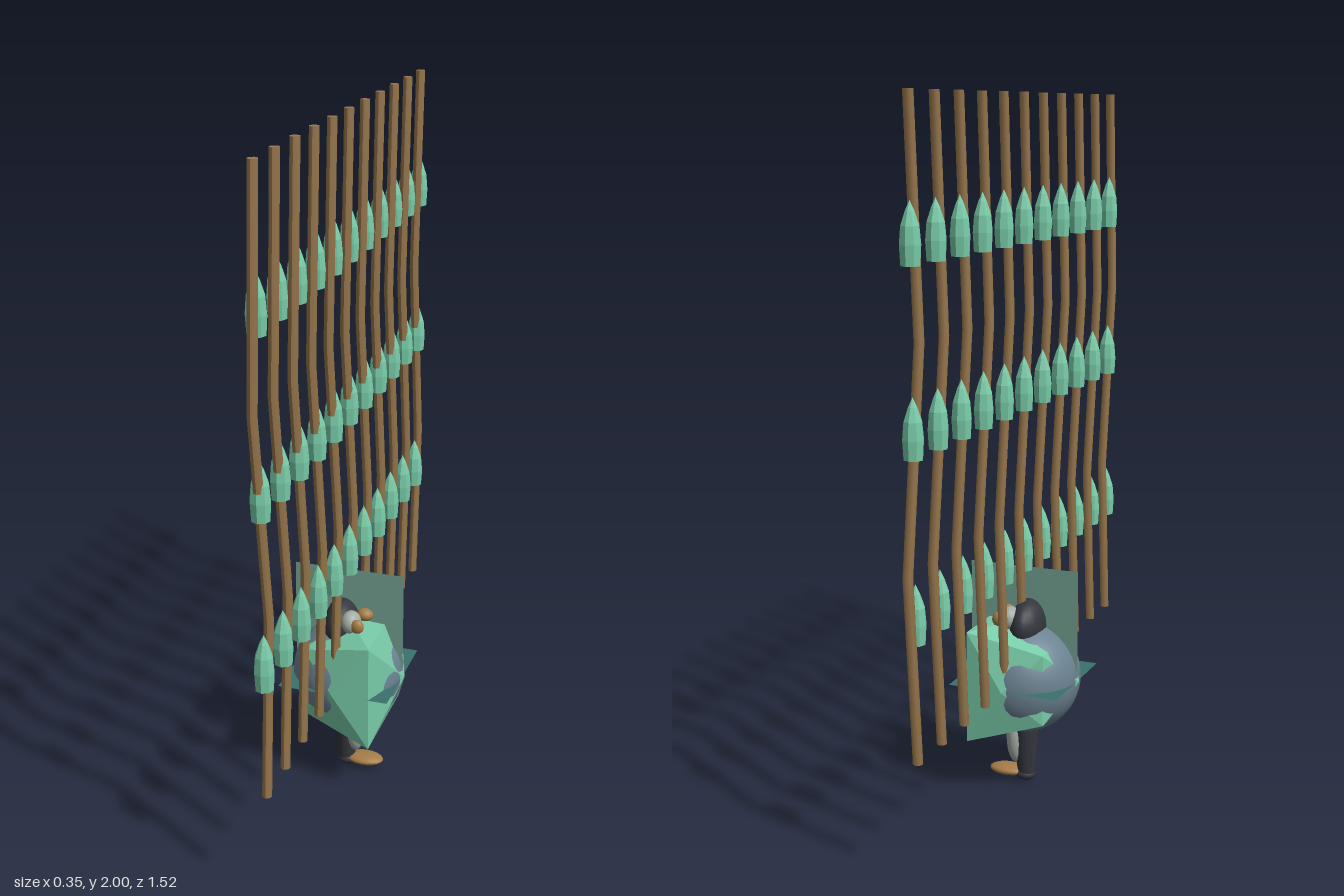
import * as THREE from 'three';
import { ConvexGeometry } from 'three/addons/geometries/ConvexGeometry.js';

function mat(name, color, opts = {}) {
  const m = new THREE.MeshStandardMaterial({ color, ...opts });
  m.name = name;
  return m;
}

export function createModel() {
  const root = new THREE.Group();
  const wood = mat('stalk brown', 0x94744a);
  const green = mat('leaf green', 0x78cba8, { flatShading: true });
  const blue = mat('slate blue', 0x6a8190);
  const sage = mat('sage plate', 0x73a192, { side: THREE.DoubleSide });
  const teal = mat('dark teal plate', 0x3a716c, { side: THREE.DoubleSide });
  const dark = mat('charcoal', 0x33363d);
  const pale = mat('pale grey', 0xa3aca4);
  const tan = mat('tan', 0xa57c48);

  function add(name, geo, material, x = 0, y = 0, z = 0, parent = root) {
    const mesh = new THREE.Mesh(geo, material);
    mesh.name = name;
    mesh.position.set(x, y, z);
    parent.add(mesh);
    return mesh;
  }
  const ellipsoid = (rx, ry, rz) => new THREE.SphereGeometry(1, 20, 14).scale(rx, ry, rz);

  // Bent stalk: each ring of a cylinder is moved to one point of the zigzag
  const path = [[2, 0], [1.4, 0.04], [0.83, -0.04], [0.33, 0]];
  const stalkGeo = new THREE.CylinderGeometry(0.014, 0.014, 3, 8, 3);
  const p = stalkGeo.attributes.position;
  for (let i = 0; i < p.count; i++) {
    const [y, dz] = path[Math.round(1.5 - p.getY(i))];
    p.setY(i, y);
    p.setZ(i, p.getZ(i) + dz);
  }
  stalkGeo.computeVertexNormals();

  // Pointed bud
  const budGeo = new THREE.LatheGeometry(
    [[0, 0], [0.025, 0], [0.028, 0.05], [0.024, 0.095], [0.012, 0.13], [0, 0.155]]
      .map(([r, y]) => new THREE.Vector2(r, y)), 8);

  // Row of eleven stalks with three buds each
  for (let i = 0; i < 11; i++) {
    const stalk = new THREE.Group();
    stalk.name = 'stalk' + (i + 1);
    stalk.position.z = 0.705 - i * 0.141;
    root.add(stalk);
    add('stem', stalkGeo, wood, 0, 0, 0, stalk);
    for (const y of [0.65, 1.12, 1.59]) add('bud', budGeo, green, 0, y, 0, stalk);
  }

  // Round body with a faceted shell whose corners and face tips break through
  const cy = 0.33, tip = 0.173;
  add('roundBody', new THREE.SphereGeometry(0.167, 40, 28), blue, 0, cy, 0);
  const points = [];
  for (const s of [-1, 1]) {
    points.push(new THREE.Vector3(s * tip, 0, 0), new THREE.Vector3(0, s * tip, 0), new THREE.Vector3(0, 0, s * tip));
    for (const t of [-1, 1]) {
      points.push(new THREE.Vector3(0.11, s * 0.165, t * 0.165));
      points.push(new THREE.Vector3(-0.105, s * 0.105, t * 0.115));
    }
  }
  add('facetedShell', new ConvexGeometry(points), green, 0, cy, 0);

  // Thin square plates: one upright, one level
  add('uprightPlate', new THREE.PlaneGeometry(0.333, 0.33), sage, 0, 0.495, 0);
  add('levelPlate', new THREE.PlaneGeometry(0.333, 0.333).rotateX(-Math.PI / 2), teal, 0, cy, 0);

  // Head with pale cheeks and tan face details
  add('head', ellipsoid(0.052, 0.075, 0.095), dark, -0.018, 0.49, 0);
  for (const s of [-1, 1]) {
    add('cheek', ellipsoid(0.03, 0.035, 0.035), pale, 0.022, 0.515, s * 0.052);
    add('brow', ellipsoid(0.02, 0.022, 0.014), tan, 0.048, 0.515, s * 0.075);
  }
  add('beak', ellipsoid(0.025, 0.02, 0.025), tan, 0.05, 0.52, 0);

  // Leg, pale shin and foot
  add('leg', new THREE.CylinderGeometry(0.04, 0.026, 0.2, 16), dark, -0.008, 0.115, 0);
  add('shin', ellipsoid(0.03, 0.085, 0.04), pale, 0.022, 0.135, 0);
  add('foot', ellipsoid(0.058, 0.016, 0.036), tan, 0.05, 0.025, 0);
  add('heel', ellipsoid(0.032, 0.02, 0.03), dark, -0.004, 0.02, 0);

  return root;
}
